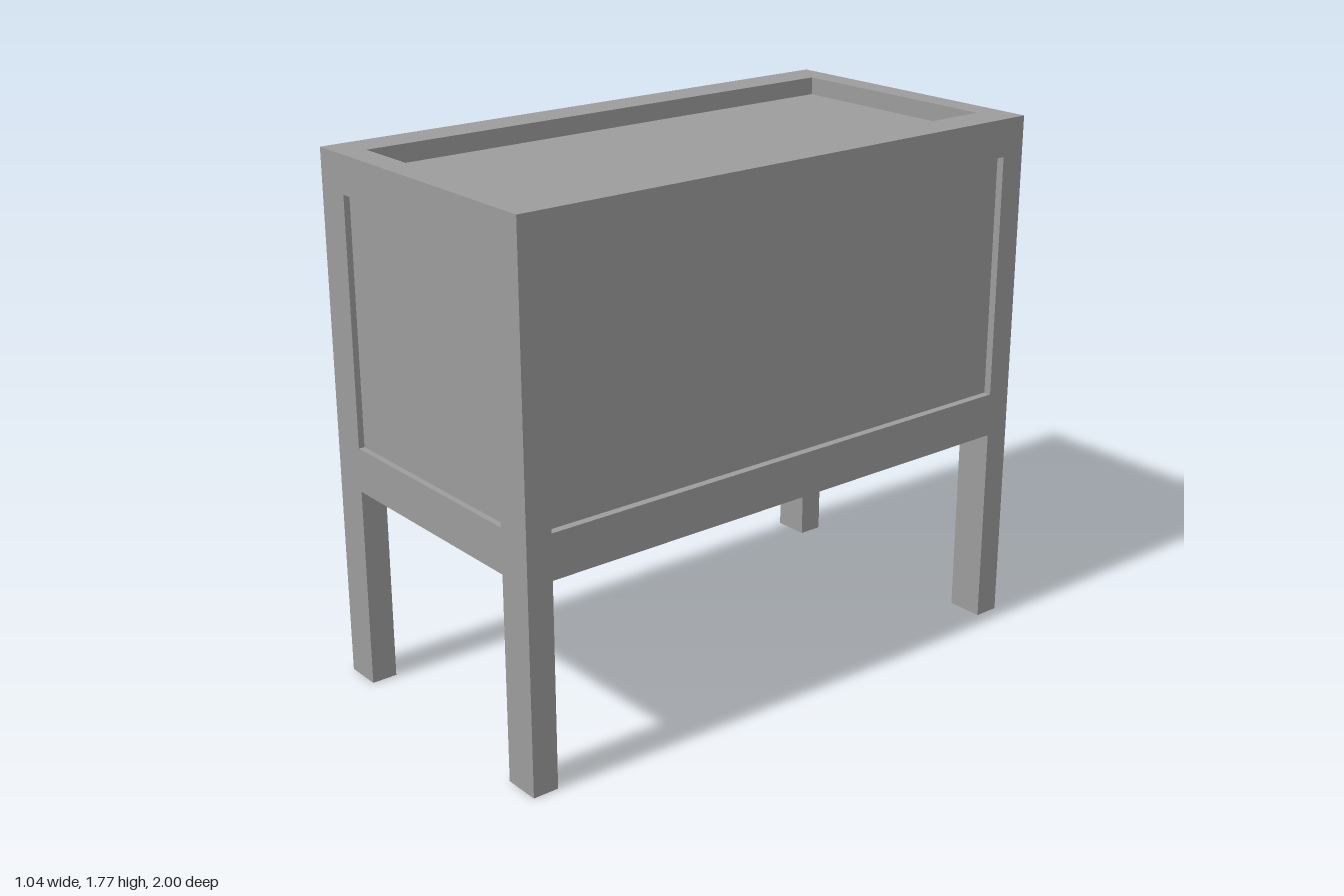
import * as THREE from 'three';

export function createModel() {
  const group = new THREE.Group();
  const material = new THREE.MeshStandardMaterial({ color: 0x9c9c9c });

  // Box given by its minimum and maximum corners
  function addBox(name, [x0, y0, z0], [x1, y1, z1]) {
    const mesh = new THREE.Mesh(new THREE.BoxGeometry(x1 - x0, y1 - y0, z1 - z0), material);
    mesh.position.set((x0 + x1) / 2, (y0 + y1) / 2, (z0 + z1) / 2);
    mesh.name = name;
    group.add(mesh);
  }

  const W = 0.522, D = 1, H = 1.775;        // outer half width, half depth, height
  const IX = 0.396, IZ = 0.912;             // inner faces of the posts
  const base = 0.682, sill = 0.83, head = 1.65;

  // Four corner posts running from the floor to the top
  for (const [sideName, x0, x1] of [['Left', IX, W], ['Right', -W, -IX]]) {
    addBox(`front${sideName}Post`, [x0, 0, IZ], [x1, H, D]);
    addBox(`back${sideName}Post`, [x0, 0, -D], [x1, H, -IZ]);
  }

  // Lower and upper rails between the posts
  for (const [level, y0, y1] of [['lower', base, sill], ['upper', head, H]]) {
    addBox(`${level}FrontRail`, [-IX, y0, IZ], [IX, y1, D]);
    addBox(`${level}BackRail`, [-IX, y0, -D], [IX, y1, -IZ]);
    addBox(`${level}LeftRail`, [IX, y0, -IZ], [W, y1, IZ]);
    addBox(`${level}RightRail`, [-W, y0, -IZ], [-IX, y1, IZ]);
  }

  // Inner chest whose faces form the recessed panels and the flush underside
  addBox('chestPanels', [-0.467, base, -0.95], [0.496, 1.715, 0.98]);

  return group;
}
